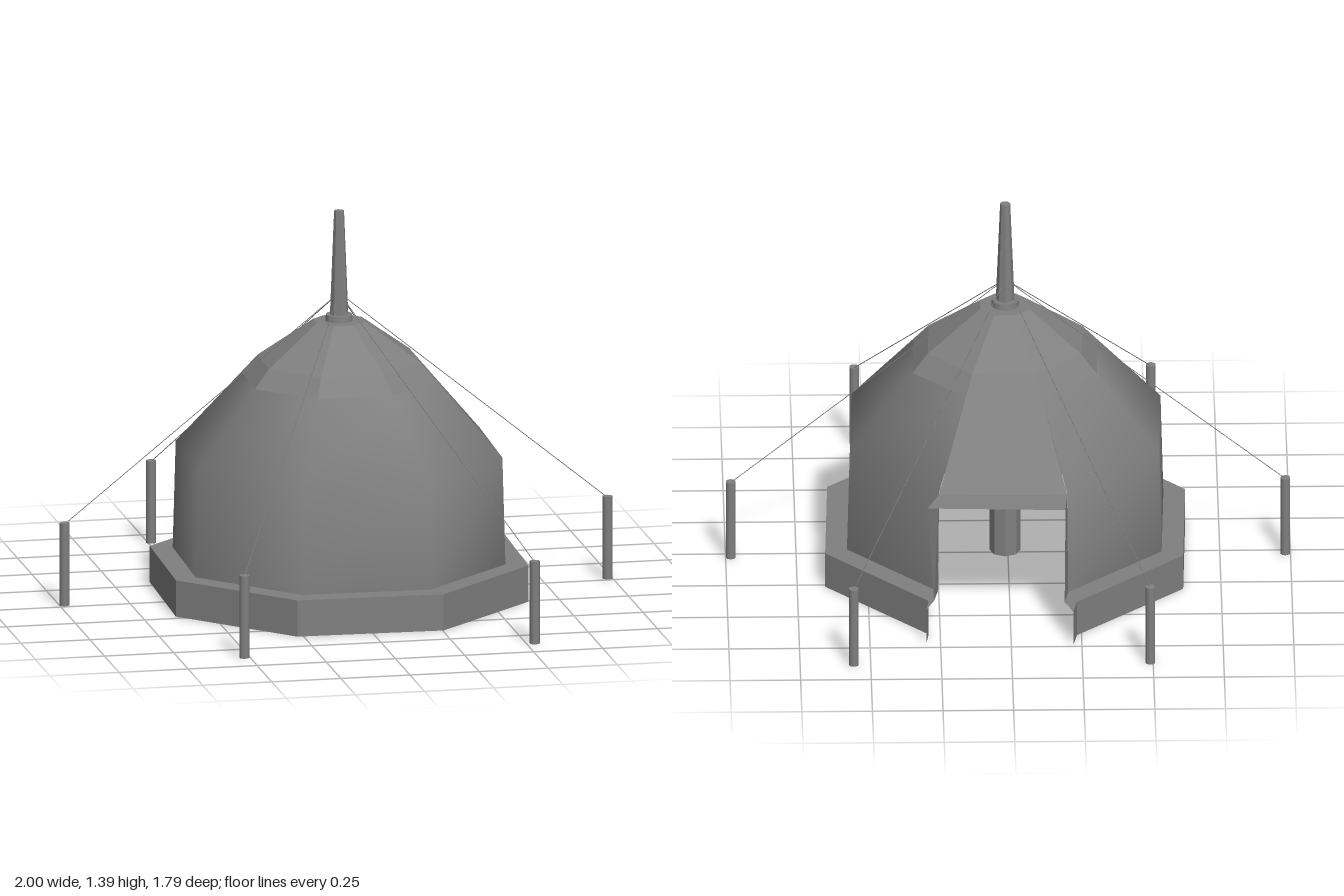
import * as THREE from 'three';

const CX = 0.01, CZ = -0.02; // axis of the tent
const DOOR_R = 6, DOOR_L = 13; // octagon corners either side of the doorway
const GREY = 0x808080;

// Corner k of the octagon with radius r at height y
function corner(r, y, k) {
  const a = THREE.MathUtils.degToRad(24.2 + 45 * k);
  return [CX + r * Math.cos(a), y, CZ + r * Math.sin(a)];
}

// Part of an octagonal ring, corners k0 to k1
function ring(r, y, k0 = DOOR_R, k1 = DOOR_L) {
  const pts = [];
  for (let k = k0; k <= k1; k++) pts.push(corner(r, y, k));
  return pts;
}

// Surface through rows of points
function loft(name, rows, flat = true) {
  const n = rows[0].length, index = [];
  for (let j = 0; j < rows.length - 1; j++)
    for (let i = 0; i < n - 1; i++) {
      const a = j * n + i, b = a + 1, c = a + n, d = c + 1;
      index.push(a, c, b, b, c, d);
    }
  const geo = new THREE.BufferGeometry();
  geo.setAttribute('position', new THREE.Float32BufferAttribute(rows.flat(2), 3));
  geo.setIndex(index);
  geo.computeVertexNormals();
  const mesh = new THREE.Mesh(geo, new THREE.MeshStandardMaterial({
    color: GREY, flatShading: flat, side: THREE.DoubleSide }));
  mesh.name = name;
  return mesh;
}

export function createModel() {
  const group = new THREE.Group();
  const mat = new THREE.MeshStandardMaterial({ color: GREY });
  const add = (name, geo, x, y, z, material = mat) => {
    const mesh = new THREE.Mesh(geo, material);
    mesh.name = name;
    mesh.position.set(x, y, z);
    group.add(mesh);
  };

  // Canvas wall and lower roof, open at the back doorway
  const eaves = [0.592, 0.52], capEdge = [0.353, 0.785];
  group.add(loft('canvas', [[0.603, 0.132], eaves, capEdge].map(([r, y]) => ring(r, y)), false));
  group.add(loft('backRoof', [[0.592, 0.51], capEdge].map(([r, y]) => ring(r, y, 5, 6))));

  // Faceted crown and its flat top
  const crown = [capEdge, [0.295, 0.85], [0.095, 0.99]];
  group.add(loft('crown', crown.map(([r, y]) => ring(r, y, 0, 8))));
  group.add(loft('roofTop', [ring(0.095, 0.99, 0, 8), ring(0, 0.99, 0, 8)]));

  // Ground skirt with its top ledge and turned-out ends at the doorway
  const skirt = y => [[0.3, y, -0.715], ...ring(0.686, y), [-0.22, y, -0.738]];
  const ledge = [[0.272, 0.132, -0.645], ...ring(0.603, 0.132), [-0.19, 0.132, -0.665]];
  group.add(loft('skirt', [skirt(0), skirt(0.132), ledge]));

  // Door canopy with two side curtains
  const outer = [[-0.19, 0.132, -0.665], [-0.193, 0.505, -0.68],
    [0.295, 0.505, -0.66], [0.272, 0.132, -0.645]];
  const inner = [corner(0.603, 0.132, DOOR_L), corner(0.592, 0.51, DOOR_L),
    corner(0.592, 0.51, DOOR_R), corner(0.603, 0.132, DOOR_R)];
  group.add(loft('doorCanopy', [outer, inner]));

  // Centre mast, stepped below and tapered above the roof
  const mast = [[0, 0.02], [0.055, 0.02], [0.055, 0.29], [0.042, 0.34],
    [0.034, 0.99], [0.018, 1.39], [0, 1.39]].map(p => new THREE.Vector2(...p));
  add('mast', new THREE.LatheGeometry(mast, 8), CX, 0, CZ,
    new THREE.MeshStandardMaterial({ color: GREY, flatShading: true }));
  add('mastCollar', new THREE.CylinderGeometry(0.047, 0.05, 0.03, 16), CX, 0.998, CZ);

  // Stakes and guy ropes
  const stakes = [[0.982, -0.025], [-0.982, -0.025], [0.56, -0.88],
    [-0.49, -0.88], [0.53, 0.875], [-0.52, 0.875]];
  for (const [x, z] of stakes) {
    add('stake', new THREE.CylinderGeometry(0.018, 0.018, 0.3, 10), x, 0.15, z);
    const path = new THREE.LineCurve3(
      new THREE.Vector3(CX, 1.09, CZ), new THREE.Vector3(x, 0.295, z));
    add('guyRope', new THREE.TubeGeometry(path, 1, 0.0015, 5), 0, 0, 0);
  }
  return group;
}
